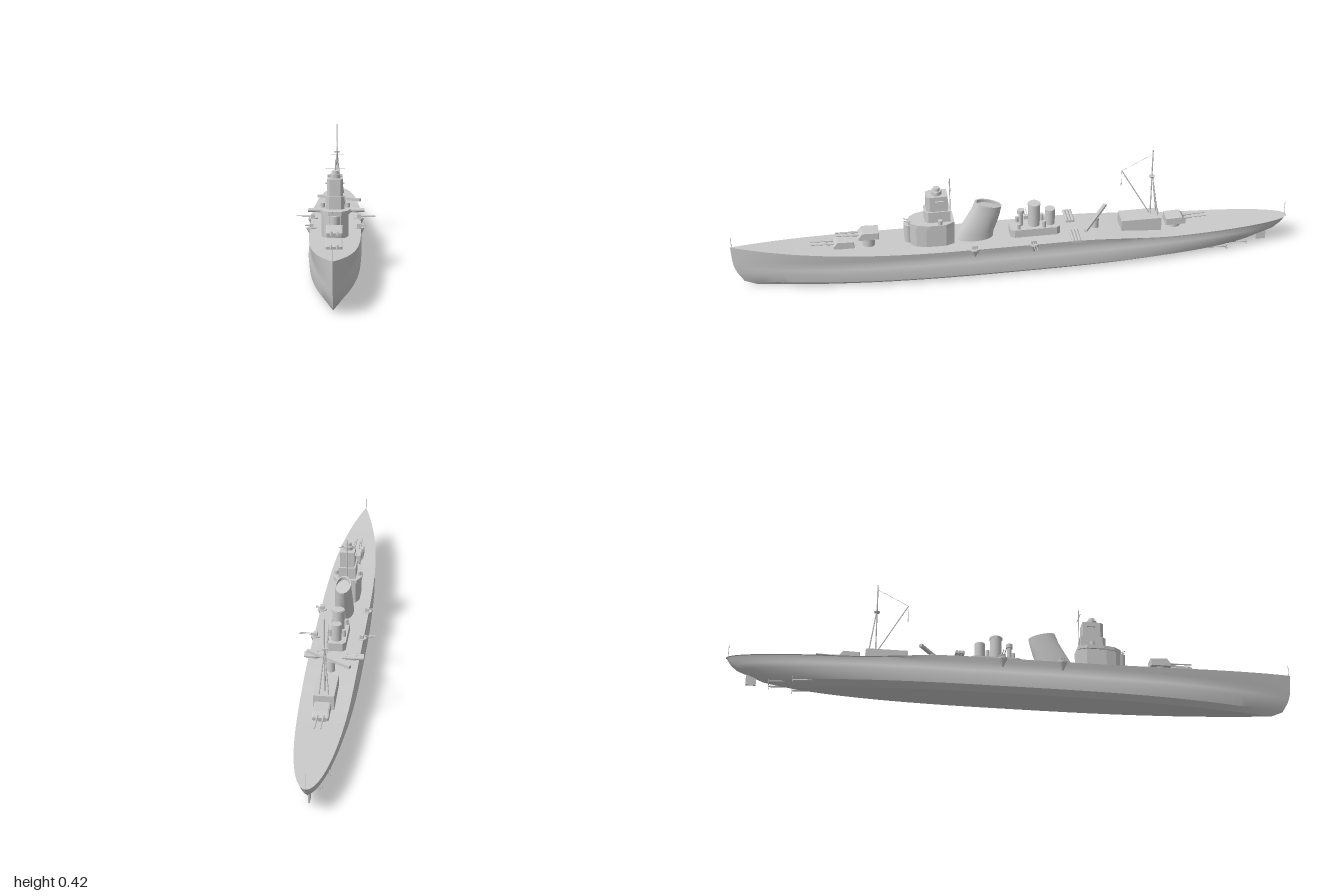
import * as THREE from 'three';
import { toCreasedNormals } from 'three/addons/utils/BufferGeometryUtils.js';

const grey = new THREE.MeshStandardMaterial({ color: 0xcccccc, side: THREE.DoubleSide });
const { lerp, smoothstep, clamp } = THREE.MathUtils;

// Sheer line of the deck
const deckY = z => 0.122 + 0.041 * Math.max(0, (z - 0.2) / 0.8) ** 2 - 0.022 * smoothstep(-z, 0.2, 0.6);

function add(parent, name, geometry, x = 0, y = 0, z = 0) {
  const mesh = new THREE.Mesh(geometry, grey);
  mesh.name = name;
  mesh.position.set(x, y, z);
  parent.add(mesh);
  return mesh;
}
function group(parent, name, x = 0, y = 0, z = 0) {
  const g = new THREE.Group();
  g.name = name;
  g.position.set(x, y, z);
  parent.add(g);
  return g;
}
const box = (p, name, w, h, d, x, y, z) => add(p, name, new THREE.BoxGeometry(w, h, d), x, y + h / 2, z);
const drum = (p, name, r0, r1, h, x, y, z, n = 20) =>
  add(p, name, new THREE.CylinderGeometry(r1, r0, h, n), x, y + h / 2, z);

// Thin bar between two points
function rod(p, name, a, b, r = 0.002) {
  const A = new THREE.Vector3(...a), B = new THREE.Vector3(...b);
  const m = add(p, name, new THREE.CylinderGeometry(r, r, A.distanceTo(B), 8));
  m.position.copy(A).add(B).multiplyScalar(0.5);
  m.quaternion.setFromUnitVectors(new THREE.Vector3(0, 1, 0), B.sub(A).normalize());
  return m;
}
// Half outline [x, z], mirrored in x and raised from y0 to y1
function house(p, name, half, y0, y1) {
  const pts = [...half, ...half.map(([x, z]) => [-x, z]).reverse()];
  const shape = new THREE.Shape(pts.map(([x, z]) => new THREE.Vector2(x, -z)));
  const geo = new THREE.ExtrudeGeometry(shape, { depth: y1 - y0, bevelEnabled: false });
  return add(p, name, geo.rotateX(-Math.PI / 2), 0, y0, 0);
}
// Surface over equal rings; rings follow each other along +z or upwards
function loft(rings) {
  const n = rings[0].length, index = [];
  for (let i = 0; i + 1 < rings.length; i++)
    for (let j = 0; j + 1 < n; j++) {
      const a = i * n + j, c = a + n;
      index.push(a, c, a + 1, a + 1, c, c + 1);
    }
  const geo = new THREE.BufferGeometry();
  geo.setAttribute('position', new THREE.Float32BufferAttribute(rings.flat(2), 3));
  geo.setIndex(index);
  return toCreasedNormals(geo, 0.5);
}

function buildHull(ship) {
  // [height (null = sheer), half beam, stern z, bow z, bow fullness, stern power]
  const levels = [
    [null, 0.088, -1, 1, 3.6, 0.5],
    [0.105, 0.085, -0.997, 0.997, 3.4, 0.52],
    [0.086, 0.083, -0.99, 0.994, 3.2, 0.55],
    [0.072, 0.087, -0.98, 0.99, 3.1, 0.58],
    [0.055, 0.091, -0.96, 0.984, 3, 0.62],
    [0.018, 0.088, -0.87, 0.962, 2.7, 0.75],
    [0, 0.068, -0.77, 0.92, 2.4, 0.9],
  ];
  const rings = [], N = 72;
  for (let i = 0; i <= N; i++) {
    const t = -Math.cos(Math.PI * i / N);
    const side = levels.map(([h, beam, zs, zb, bow, stern]) => {
      const z = lerp(zs, zb, (t + 1) / 2);
      const fall = t > 0 ? 1 - t ** bow : Math.max(0, 1 - (-t) ** 3.2) ** stern;
      const y = h === null ? deckY(z) : Math.min(h, deckY(z) - 0.002);
      return [beam * clamp(fall, 0, 1), y, z];
    });
    const top = side[0], low = side[side.length - 1];
    rings.push([[0, top[1], top[2]], ...side, [0, low[1], low[2]],
      ...side.map(([x, y, z]) => [-x, y, z]).reverse(), [0, top[1], top[2]]]);
  }
  add(ship, 'hull', loft(rings));

  // Rudder, shafts and screws
  box(ship, 'rudder', 0.006, 0.045, 0.035, 0, 0.004, -0.91);
  for (const s of [-1, 1])
    for (const [x, z] of [[0.022, -0.85], [0.045, -0.77]]) {
      rod(ship, 'propellerShaft', [s * x, 0.02, z + 0.12], [s * x, 0.013, z], 0.003);
      for (let k = 0; k < 3; k++) {
        const blade = box(ship, 'propellerBlade', 0.022, 0.005, 0.002, s * x, 0.0105, z);
        blade.rotation.z = k * Math.PI / 3;
      }
    }
  rod(ship, 'bowStaff', [0, 0.16, 0.995], [0, 0.203, 0.995], 0.001);
  rod(ship, 'sternStaff', [0, 0.1, -0.992], [0, 0.15, -0.992], 0.001);
}

// Twin gun turret on a barbette
function turret(ship, z, y, dir) {
  const g = group(ship, 'mainTurret', 0, y, z);
  g.rotation.y = dir > 0 ? 0 : Math.PI;
  const base = deckY(z) - 0.01;
  drum(g, 'barbette', 0.022, 0.022, y - base + 0.004, 0, base - y, 0);
  const side = [[-0.034, 0], [0.034, 0], [0.036, 0.01], [0.022, 0.027], [-0.034, 0.025]];
  const geo = new THREE.ExtrudeGeometry(new THREE.Shape(side.map(p => new THREE.Vector2(...p))),
    { depth: 0.046, bevelEnabled: true, bevelSize: 0.002, bevelThickness: 0.004, bevelSegments: 1 });
  add(g, 'gunHouse', geo.translate(0, 0, -0.023).rotateY(-Math.PI / 2));
  for (const s of [-1, 1]) {
    rod(g, 'gunSleeve', [s * 0.01, 0.014, 0.02], [s * 0.01, 0.015, 0.06], 0.004);
    rod(g, 'gunBarrel', [s * 0.01, 0.015, 0.05], [s * 0.01, 0.017, 0.115], 0.0025);
  }
}

function buildTower(ship) {
  const g = group(ship, 'bridgeTower');
  house(g, 'towerBase', [[0.02, 0.375], [0.036, 0.355], [0.045, 0.32], [0.045, 0.25], [0.032, 0.22]], 0.115, 0.2);
  house(g, 'bridgePlatform', [[0.022, 0.375], [0.042, 0.35], [0.052, 0.31], [0.052, 0.25], [0.036, 0.22]], 0.2, 0.213);
  house(g, 'towerLower', [[0.02, 0.322], [0.031, 0.31], [0.031, 0.232]], 0.2, 0.255);
  house(g, 'towerUpper', [[0.018, 0.315], [0.026, 0.303], [0.026, 0.24]], 0.255, 0.313);
  box(g, 'lookoutPlatform', 0.064, 0.003, 0.03, 0, 0.294, 0.27);
  drum(g, 'directorBase', 0.018, 0.018, 0.014, 0, 0.313, 0.277);
  rod(g, 'rangefinder', [-0.025, 0.322, 0.28], [0.025, 0.322, 0.28], 0.004);
  drum(g, 'director', 0.013, 0.011, 0.012, 0, 0.326, 0.277);
  rod(g, 'foremast', [0, 0.2, 0.23], [0, 0.37, 0.23], 0.0016);
  rod(g, 'foremastYard', [-0.033, 0.338, 0.23], [0.033, 0.338, 0.23], 0.0012);
  // Light guns before the bridge
  drum(g, 'lightGunTub', 0.016, 0.018, 0.07, 0, 0.13, 0.378);
  box(g, 'lightGunMount', 0.024, 0.014, 0.012, 0, 0.2, 0.374);
  for (const s of [-1, 1]) {
    rod(g, 'lightGun', [s * 0.008, 0.208, 0.375], [s * 0.008, 0.216, 0.395], 0.0015);
    drum(g, 'sideDirector', 0.008, 0.008, 0.018, s * 0.042, 0.21, 0.27, 12);
  }
}

function buildFunnel(ship) {
  // [front z, back z, half width, front y, back y]
  const sections = [[0.22, 0.08, 0.034, 0.115, 0.115], [0.205, 0.077, 0.033, 0.15, 0.145],
    [0.178, 0.064, 0.031, 0.195, 0.18], [0.155, 0.054, 0.029, 0.235, 0.215], [0.143, 0.048, 0.028, 0.267, 0.243]];
  const ring = ([f, b, w, yf, yb], k = 1, drop = 0) => Array.from({ length: 33 }, (_, j) => {
    const a = -j / 32 * 2 * Math.PI, c = k * Math.cos(a);
    return [k * w * Math.sin(a), lerp(yb, yf, (c + 1) / 2) - drop, lerp(b, f, (c + 1) / 2)];
  });
  const top = sections[4];
  const rings = [...sections.map(s => ring(s)), ring(top, 0.87), ring(top, 0.87, 0.012), ring(top, 0.001, 0.012)];
  // Reverse each ring so faces look outwards
  add(ship, 'funnel', loft(rings.map(r => r.reverse())));
}

function buildMidships(ship) {
  const g = group(ship, 'midshipsHouse');
  house(g, 'house', [[0.025, 0.02], [0.034, 0.005], [0.034, -0.145], [0.025, -0.158]], 0.115, 0.152);
  drum(g, 'ventilatorLarge', 0.021, 0.021, 0.088, 0, 0.152, -0.068);
  drum(g, 'ventilatorLargeCap', 0.023, 0.023, 0.006, 0, 0.232, -0.068);
  drum(g, 'ventilatorSmall', 0.018, 0.018, 0.06, 0, 0.152, -0.125);
  drum(g, 'searchlightPillar', 0.008, 0.008, 0.05, 0, 0.152, -0.02, 12);
  drum(g, 'searchlight', 0.012, 0.012, 0.014, 0, 0.202, -0.02, 16);
  for (const s of [-1, 1]) {
    drum(g, 'deckVent', 0.007, 0.007, 0.025, s * 0.024, 0.152, -0.1, 12);
    drum(g, 'deckVent', 0.006, 0.006, 0.02, s * 0.024, 0.152, -0.01, 12);
  }
  for (const s of [-1, 1]) {
    // Side guns on flared sponsons
    for (const [z, reach] of [[0.155, 0.105], [-0.055, 0.14]]) {
      const m = group(ship, 'sideGun', s * 0.082, 0, z);
      drum(m, 'sponson', 0.003, 0.017, 0.028, 0, 0.092, 0, 16);
      drum(m, 'sponsonRim', 0.017, 0.017, 0.005, 0, 0.12, 0, 16);
      box(m, 'gunShield', 0.014, 0.013, 0.02, 0, 0.125, 0);
      for (const d of [-0.004, 0.004])
        rod(m, 'gunBarrel', [0, 0.132, d], [s * (reach - 0.082), 0.132, d], 0.0014);
    }
    // Torpedo tubes across the deck
    const t = group(ship, 'torpedoMount', s * 0.066, 0, -0.205);
    drum(t, 'turntable', 0.015, 0.015, 0.012, 0, 0.114, 0);
    for (let k = -1; k <= 1; k++)
      rod(t, 'torpedoTube', [-0.037, 0.13, k * 0.011], [0.037, 0.13, k * 0.011], 0.0055);
  }
}

function buildAft(ship) {
  // Catapult on its pedestal
  drum(ship, 'catapultPedestal', 0.013, 0.013, 0.045, 0, 0.112, -0.29);
  const arm = box(ship, 'catapultArm', 0.186, 0.01, 0.011, 0.01, 0.157, -0.288);
  arm.rotation.y = -Math.atan2(0.105, 0.16);

  house(ship, 'aftDeckhouse', [[0.035, -0.38], [0.035, -0.525]], 0.095, 0.153);

  // Tripod mainmast with derrick
  const g = group(ship, 'mainmast');
  rod(g, 'mast', [0, 0.15, -0.49], [0, 0.417, -0.49], 0.0022);
  for (const s of [-1, 1])
    rod(g, 'mastLeg', [s * 0.016, 0.15, -0.515], [0, 0.31, -0.492], 0.002);
  drum(g, 'mastPlatform', 0.009, 0.011, 0.004, 0, 0.308, -0.49, 12);
  rod(g, 'yard', [-0.025, 0.3, -0.49], [0.025, 0.3, -0.49], 0.0012);
  rod(g, 'derrick', [0, 0.16, -0.485], [0, 0.343, -0.38], 0.0018);
  rod(g, 'stay', [0, 0.343, -0.38], [0, 0.4, -0.49], 0.0006);
  rod(g, 'hoistCable', [0, 0.343, -0.38], [0, 0.29, -0.38], 0.0006);
  drum(g, 'hoistHook', 0.002, 0.002, 0.008, 0, 0.283, -0.38, 8);
}

export function createModel() {
  const ship = new THREE.Group();
  ship.name = 'cruiser';
  buildHull(ship);
  turret(ship, 0.608, 0.133, 1);
  turret(ship, 0.52, 0.161, 1);
  turret(ship, -0.58, 0.115, -1);
  buildTower(ship);
  buildFunnel(ship);
  buildMidships(ship);
  buildAft(ship);
  return ship;
}
